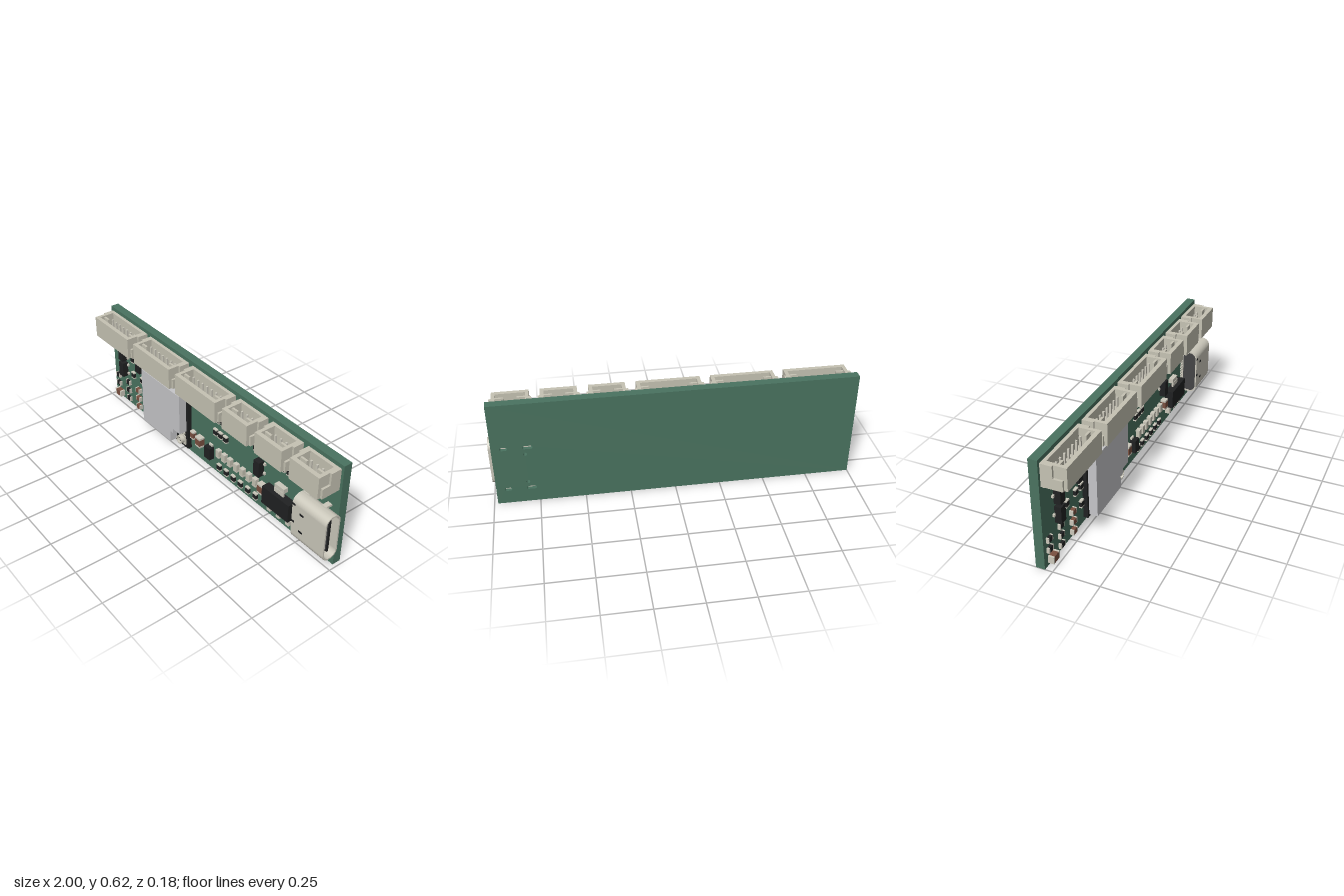
import * as THREE from 'three';

const mat = (name, color, side = THREE.FrontSide) => {
  const m = new THREE.MeshStandardMaterial({ color, side });
  m.name = name;
  return m;
};

export function createModel() {
  const root = new THREE.Group();
  root.name = 'circuitBoard';
  const green = mat('boardGreen', 0x4a7360);
  const cream = mat('connectorCream', 0xc6c3b4);
  const metal = mat('warmMetal', 0xcbc8bb);
  const silver = mat('shieldSilver', 0xc6c6c9);
  const black = mat('chipBlack', 0x202122);
  const grey = mat('socketGrey', 0x454546);
  const brown = mat('capacitorBrown', 0x7a5040);
  const Z = -0.041; // front surface of the board

  const group = (name, parent = root) => {
    const g = new THREE.Group();
    g.name = name;
    parent.add(g);
    return g;
  };
  const add = (parent, name, geo, m) => {
    const mesh = new THREE.Mesh(geo, m);
    mesh.name = name;
    parent.add(mesh);
    return mesh;
  };
  // box from its two extreme corners
  const box = (parent, name, m, x0, x1, y0, y1, z0, z1) => {
    const b = add(parent, name, new THREE.BoxGeometry(x1 - x0, y1 - y0, z1 - z0), m);
    b.position.set((x0 + x1) / 2, (y0 + y1) / 2, (z0 + z1) / 2);
    return b;
  };
  const roundRect = (w, h, r, cx = 0, cy = 0, S = THREE.Shape) => {
    const s = new S(), a = w / 2 - r, b = h / 2 - r;
    s.absarc(cx + a, cy + b, r, 0, Math.PI / 2);
    s.absarc(cx - a, cy + b, r, Math.PI / 2, Math.PI);
    s.absarc(cx - a, cy - b, r, Math.PI, Math.PI * 1.5);
    s.absarc(cx + a, cy - b, r, Math.PI * 1.5, Math.PI * 2);
    s.closePath();
    return s;
  };
  const extrude = (shape, depth) =>
    new THREE.ExtrudeGeometry(shape, { depth, bevelEnabled: false, curveSegments: 8 });

  // board with mounting slots for the charging socket
  const plate = new THREE.Shape([[-1, 0], [0.98, 0], [0.98, 0.62], [-1, 0.62]].map(p => new THREE.Vector2(...p)));
  const slots = [[0.915, 0.352, 0.04], [0.79, 0.352, 0.055], [0.915, 0.09, 0.04], [0.79, 0.09, 0.055]];
  for (const [x, y, w] of slots) plate.holes.push(roundRect(w, 0.02, 0.0099, x, y, THREE.Path));
  for (const y of [0.31, 0.13]) plate.holes.push(roundRect(0.02, 0.02, 0.0099, 0.805, y, THREE.Path));
  add(root, 'board', extrude(plate, 0.049), green).position.z = -0.09;

  // row of upward-opening cable connectors
  const connector = (cx, w, pins) => {
    const g = group('cableConnector');
    g.position.x = cx;
    const h = w / 2, b = h - 0.012, y0 = 0.472, y1 = 0.597, slot = h - 0.075;
    box(g, 'backWall', cream, -b, b, y0, y1, Z, -0.022);
    box(g, 'floor', cream, -b, b, y0, 0.5, -0.022, 0.03);
    box(g, 'frontWall', cream, -b, b, y0, y1, 0.066, 0.09);
    for (const s of [-1, 1]) {
      const side = (name, xa, xb, ...r) => box(g, name, cream, Math.min(s * xa, s * xb), Math.max(s * xa, s * xb), ...r);
      side('sideWall', b - 0.02, b, y0, y1, -0.022, 0.066);
      side('floorCorner', slot, b - 0.02, y0, 0.52, 0.03, 0.066);
      side('innerRib', slot, b - 0.02, y0, 0.59, 0.03, 0.042);
      side('sideEar', b, h, y0, 0.53, Z, 0.072);
      side('upperEar', b, h, 0.53, y1, Z, 0.022);
      side('solderTab', b - 0.03, b, 0.46, y0, Z, -0.03);
    }
    for (let i = 0; i < pins; i++) {
      const x = (i - (pins - 1) / 2) * 0.039;
      box(g, 'pin', metal, x - 0.005, x + 0.005, 0.5, 0.575, 0, 0.01);
      box(g, 'pinFoot', metal, x - 0.005, x + 0.005, 0.446, y0, Z, -0.031);
      box(g, 'pinHeel', metal, x - 0.005, x + 0.005, 0.466, y0, -0.031, -0.02);
    }
    const p = pins * 0.039 / 2 - 0.04;
    box(g, 'keySlot', grey, -p - 0.02, p + 0.02, 0.475, 0.503, 0.028, 0.042);
  };
  [-0.798, -0.39, 0.016].forEach(x => connector(x, 0.372, 7));
  [0.347, 0.603, 0.855].forEach(x => connector(x, 0.22, 3));

  // radio module: black carrier, shield can with a notch, antenna jack
  const radio = group('radioModule');
  box(radio, 'carrier', black, -0.595, -0.19, 0.028, 0.414, Z, -0.015);
  const can = new THREE.Shape([[-0.58, 0.043], [-0.3, 0.043], [-0.3, 0.115], [-0.27, 0.115], [-0.27, 0.145],
    [-0.205, 0.145], [-0.205, 0.402], [-0.58, 0.402]].map(p => new THREE.Vector2(...p)));
  add(radio, 'shieldCan', extrude(can, 0.048), silver).position.z = -0.015;
  box(radio, 'jackBase', metal, -0.272, -0.208, 0.048, 0.108, -0.015, -0.008);
  const cyl = (name, r, len, z, m) => {
    const c = add(radio, name, new THREE.CylinderGeometry(r, r, len, 20), m);
    c.rotation.x = Math.PI / 2;
    c.position.set(-0.24, 0.078, z);
  };
  cyl('jackFloor', 0.022, 0.006, -0.005, black);
  cyl('jackPin', 0.007, 0.02, 0.002, metal);
  const ring = roundRect(0.052, 0.052, 0.0259);
  ring.holes.push(roundRect(0.04, 0.04, 0.0199, 0, 0, THREE.Path));
  add(radio, 'jackRing', extrude(ring, 0.022), metal).position.set(-0.24, 0.078, -0.008);
  for (const [x, y] of [[-0.285, 0.1], [-0.255, 0.125], [-0.22, 0.125], [-0.285, 0.06]])
    box(radio, 'tinyPart', metal, x - 0.006, x + 0.006, y - 0.006, y + 0.006, -0.015, -0.006);

  // charging socket, opening towards +x
  const usb = group('chargingSocket');
  const CY = 0.2225, CZ = 0.0135;
  const alongX = (name, shape, x, len, m) => {
    const e = add(usb, name, extrude(shape, len), m);
    e.rotation.y = Math.PI / 2;
    e.position.set(x, CY, CZ);
  };
  const shell = roundRect(0.095, 0.275, 0.044);
  shell.holes.push(roundRect(0.079, 0.259, 0.036, 0, 0, THREE.Path));
  alongX('shell', shell, 0.77, 0.23, metal);
  alongX('socketBack', roundRect(0.079, 0.259, 0.036), 0.772, 0.05, grey);
  box(usb, 'tongue', grey, 0.82, 0.975, 0.135, 0.31, -0.001, 0.023);
  box(usb, 'tongueTip', black, 0.82, 0.98, 0.12, 0.327, 0.005, 0.017);
  for (let i = 0; i < 10; i++)
    for (const z of [-0.003, 0.022]) {
      const y = CY + (i - 4.5) * 0.016;
      box(usb, 'contact', metal, 0.83, 0.965, y - 0.003, y + 0.003, z, z + 0.003);
    }
  for (const y of [0.168, 0.277]) {
    box(usb, 'springClip', metal, 0.9, 0.95, y - 0.012, y + 0.012, 0.043, 0.053);
    box(usb, 'springClip', metal, 0.9, 0.95, y - 0.012, y + 0.012, -0.026, -0.016);
    box(usb, 'shellSlot', black, 0.825, 0.85, y - 0.006, y + 0.006, 0.06, 0.0625);
    box(usb, 'shellNotch', black, 0.77, 0.79, y + 0.03, y + 0.042, 0.06, 0.0625);
  }
  for (const [x, y, w] of slots)
    box(usb, 'mountingLeg', metal, x - w * 0.35, x + w * 0.35, y - 0.006, y + 0.006, -0.075, 0.01);
  for (let i = 0; i < 12; i++) {
    const y = CY + (i - 5.5) * 0.018;
    box(usb, 'solderPin', metal, 0.755, 0.78, y - 0.005, y + 0.005, Z, -0.032);
  }

  // voltage regulator
  const reg = group('voltageRegulator');
  box(reg, 'regulatorBody', black, 0.494, 0.697, 0.103, 0.213, -0.035, 0.014);
  box(reg, 'heatTab', metal, 0.56, 0.63, 0.213, 0.24, -0.02, -0.01);
  box(reg, 'heatTabFoot', metal, 0.56, 0.63, 0.235, 0.262, Z, -0.012);
  for (const x of [0.523, 0.596, 0.668]) {
    box(reg, 'regulatorLead', metal, x - 0.013, x + 0.013, 0.075, 0.103, -0.02, -0.01);
    box(reg, 'regulatorFoot', metal, x - 0.013, x + 0.013, 0.05, 0.077, Z, -0.012);
  }

  // small three-lead chips
  for (const [x, y] of [[-0.865, 0.36], [-0.865, 0.25], [-0.68, 0.36], [0.425, 0.275]]) {
    const g = group('smallChip');
    box(g, 'chipBody', black, x - 0.022, x + 0.022, y - 0.047, y + 0.047, Z + 0.004, 0);
    for (const [s, dy] of [[-1, 0], [1, 0.03], [1, -0.03]])
      box(g, 'chipLead', metal, x + s * 0.027 - 0.008, x + s * 0.027 + 0.008, y + dy - 0.007, y + dy + 0.007, Z, -0.03);
  }
  const diode = group('diode');
  box(diode, 'diodeBody', black, -0.022, 0.027, 0.08, 0.158, Z + 0.003, -0.004);
  box(diode, 'diodeLead', metal, -0.012, 0.017, 0.068, 0.08, Z, -0.03);
  box(diode, 'diodeLead', metal, -0.012, 0.017, 0.158, 0.17, Z, -0.03);

  // two-terminal parts: l is the length between terminals, w the width
  const chip = (name, m, x, y, flat = false, l = 0.042, w = 0.03, h = 0.016) => {
    const g = group(name);
    g.position.set(x, y, 0);
    if (flat) g.rotation.z = Math.PI / 2;
    box(g, 'body', m, -w / 2 + 0.001, w / 2 - 0.001, -l * 0.32, l * 0.32, Z, Z + h);
    for (const s of [-1, 1]) {
      const a = s * l * 0.32, b = s * l / 2;
      box(g, 'terminal', metal, -w / 2, w / 2, Math.min(a, b), Math.max(a, b), Z, Z + h);
    }
  };
  const row = (xs, y, name, m, ...rest) => xs.forEach(x => chip(name, m, x, y, ...rest));
  row([-0.095, -0.054, -0.013, 0.03, 0.068, 0.11, 0.152, 0.192, 0.234], 0.372, 'resistor', black);
  row([0.045, 0.088, 0.132], 0.278, 'resistor', black);
  row([0.382, 0.425, 0.48, 0.548, 0.595, 0.64], 0.372, 'resistor', black);
  row([0.08, 0.142, 0.206, 0.268, 0.33, 0.393], 0.053, 'resistor', black);
  row([0.08, 0.13, 0.18, 0.235, 0.287, 0.34, 0.393], 0.152, 'indicator', cream, false, 0.05, 0.03, 0.024);
  row([-0.775], 0.35, 'resistor', black);
  row([-0.775], 0.24, 'resistor', black);
  row([-0.68, -0.625], 0.245, 'resistor', black);
  row([-0.625], 0.138, 'resistor', black);
  for (const y of [0.155, 0.096, 0.037]) {
    row([-0.84], y, 'resistor', black, true);
    row([-0.722], y, 'capacitor', brown, true, 0.042, 0.03, 0.022);
    if (y > 0.05) row([-0.953], y, 'resistor', black, true);
  }
  chip('largeCapacitor', brown, -0.937, 0.037, true, 0.06, 0.04, 0.032);
  chip('capacitor', brown, -0.157, 0.144, false, 0.05, 0.033, 0.025);
  chip('largeCapacitor', brown, -0.088, 0.14, false, 0.064, 0.045, 0.036);
  chip('largeCapacitor', brown, 0.45, 0.15, false, 0.062, 0.04, 0.034);
  return root;
}
